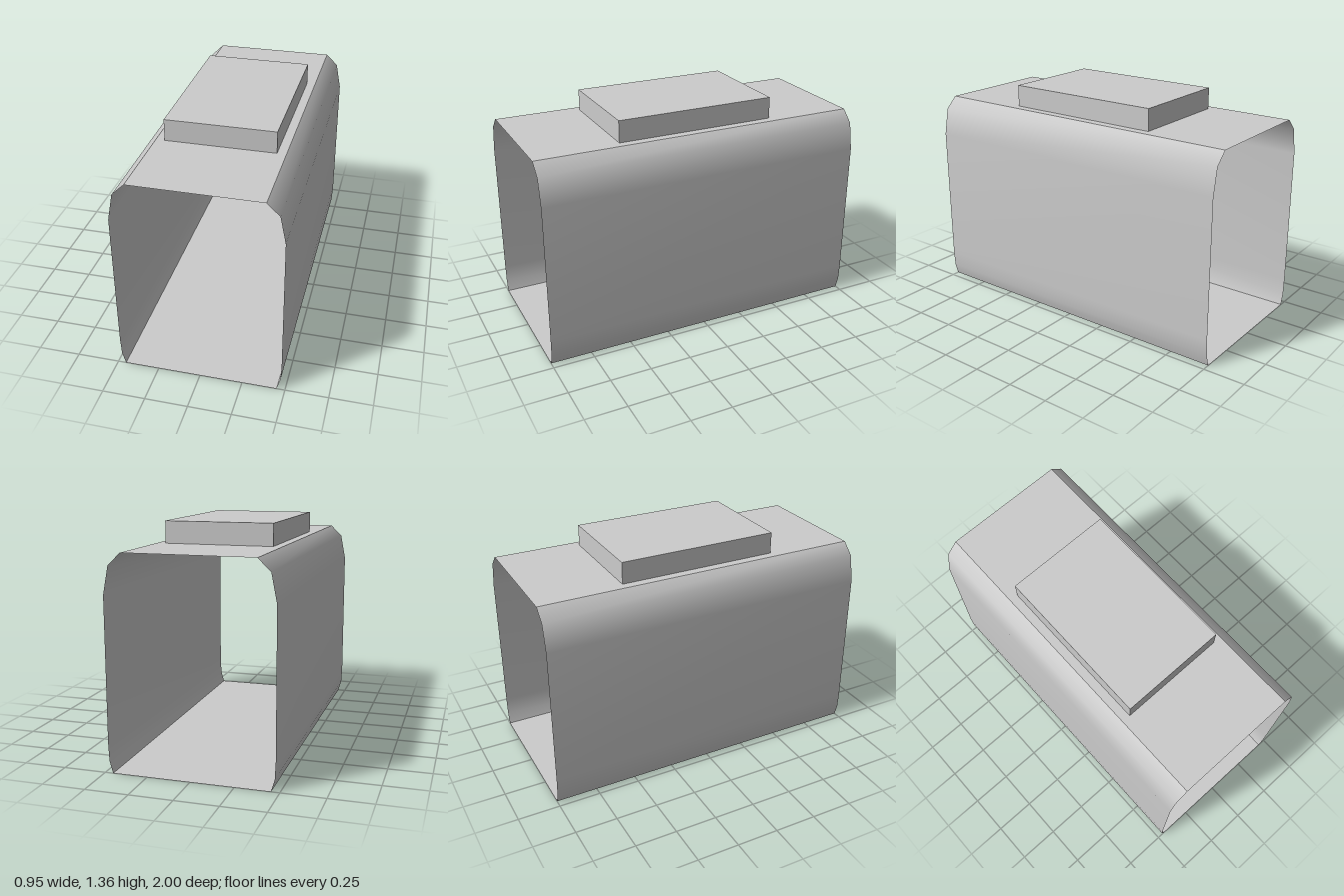
import * as THREE from 'three';

// Sweeps an open x/y profile straight along z, with smooth normals inside the strip
function sweep(profile, length) {
  const pos = [], index = [];
  profile.forEach(([x, y], i) => {
    pos.push(x, y, length / 2, x, y, -length / 2);
    if (i > 0) {
      const a = 2 * (i - 1);
      index.push(a, a + 1, a + 2, a + 1, a + 3, a + 2);
    }
  });
  const geo = new THREE.BufferGeometry();
  geo.setAttribute('position', new THREE.Float32BufferAttribute(pos, 3));
  geo.setIndex(index);
  geo.computeVertexNormals();
  return geo;
}

export function createModel() {
  const model = new THREE.Group();
  const grey = new THREE.MeshStandardMaterial({ color: 0xcccccc, side: THREE.DoubleSide });
  grey.name = 'light grey';

  const add = (name, geo) => {
    const mesh = new THREE.Mesh(geo, grey);
    mesh.name = name;
    model.add(mesh);
    return mesh;
  };

  const length = 2;
  // Side wall from floor to roof edge, on the +x side
  const wall = [[0.452, 0], [0.472, 0.07], [0.477, 0.17], [0.477, 1.0], [0.446, 1.16], [0.374, 1.23]];

  // Open-ended shell: two rounded walls, flat roof and floor, joined at hard edges
  add('leftWall', sweep([...wall].reverse(), length));
  add('rightWall', sweep(wall.map(([x, y]) => [-x, y]), length));
  add('roof', sweep([[-0.374, 1.23], [0.374, 1.23]], length));
  add('floor', sweep([[0.452, 0], [-0.452, 0]], length));

  // Flat unit on the roof
  add('roofUnit', new THREE.BoxGeometry(0.644, 0.13, 0.97)).position.y = 1.295;

  return model;
}
